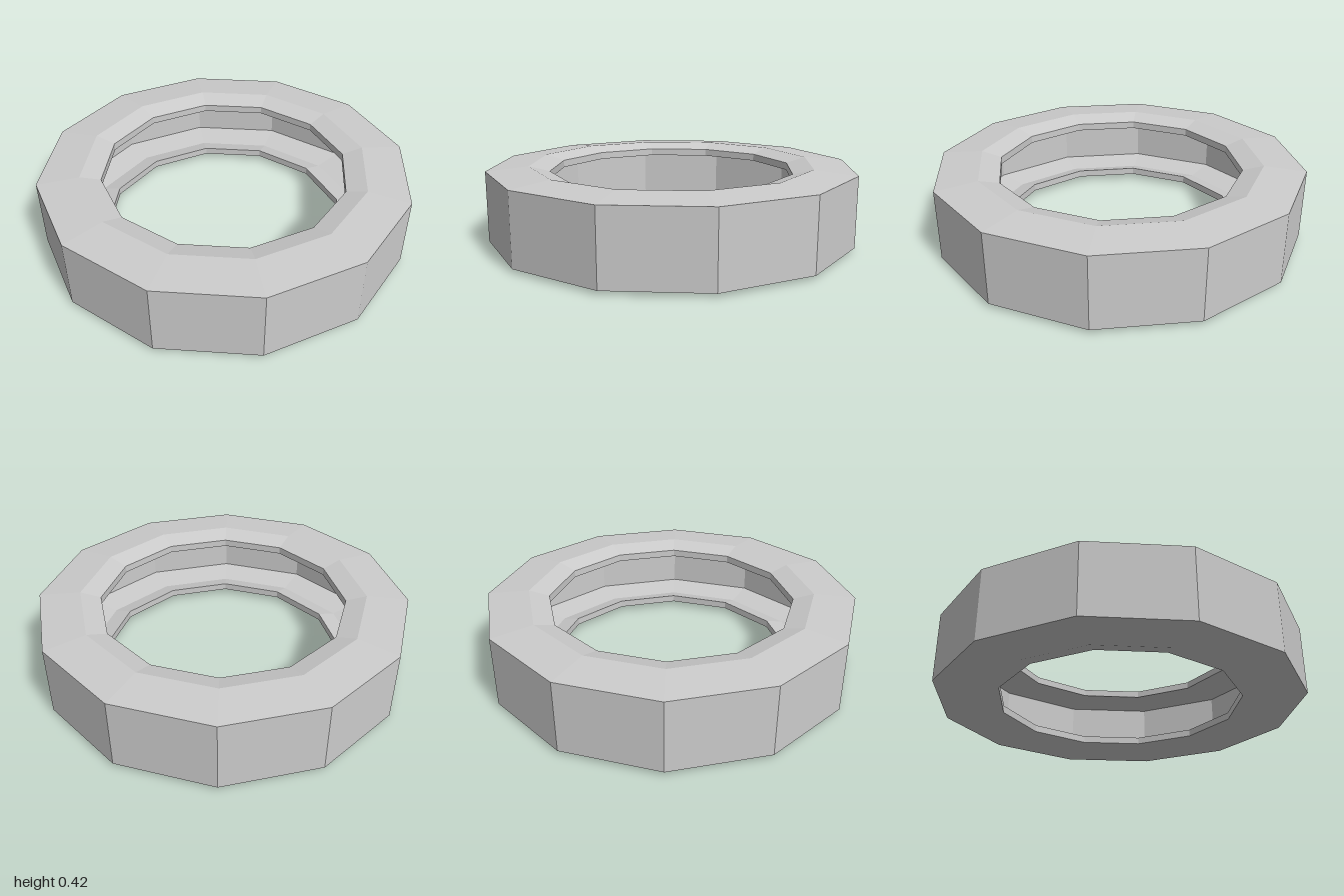
import * as THREE from 'three';

export function createModel() {
  const group = new THREE.Group();
  group.name = 'tire';
  const material = new THREE.MeshStandardMaterial({ color: 0xcccccc, flatShading: true });

  // upper half of the hollow wall section: [radius, height above the mid plane]
  const mid = 0.21;
  const outside = [[1, 0.19], [0.775, 0.21], [0.665, 0.18]];
  const inside = [[0.665, 0.14], [0.775, 0.17], [0.94, 0.15]];
  const upper = [...outside, ...inside];

  // mirror it downwards and close the loop
  const lower = upper.map(([r, y]) => [r, -y]).reverse();
  const loop = [...upper, ...lower, upper[0]];
  const profile = loop.map(([r, y]) => new THREE.Vector2(r, mid + y));

  // twelve-sided ring with a channel open towards the hole
  const ring = new THREE.Mesh(new THREE.LatheGeometry(profile, 12), material);
  ring.name = 'tireCasing';
  group.add(ring);
  return group;
}
